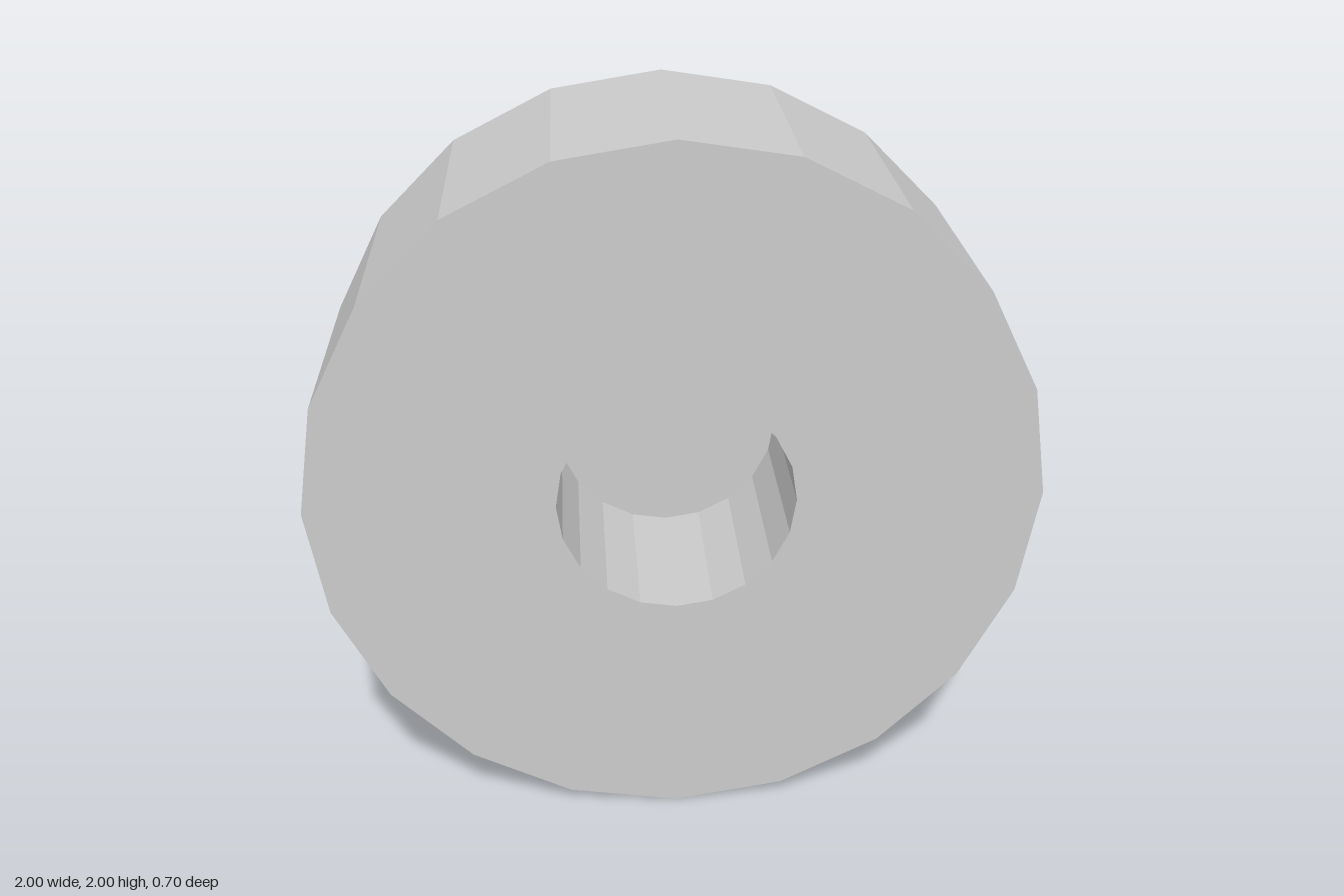
import * as THREE from 'three';

const SIDES = 20;
const RADIUS = 1;
const HALF_WIDTH = 0.35;
const HOLE_RADIUS = 0.325;
const HOLE_FLOOR = -0.15;

export function createModel() {
  const group = new THREE.Group();
  group.name = 'wheel';

  // Closed profile: back centre, rim, front face, blind hole wall, hole floor
  const profile = [
    [0, -HALF_WIDTH],
    [RADIUS, -HALF_WIDTH],
    [RADIUS, HALF_WIDTH],
    [HOLE_RADIUS, HALF_WIDTH],
    [HOLE_RADIUS, HOLE_FLOOR],
    [0, HOLE_FLOOR],
  ].map(([r, y]) => new THREE.Vector2(r, y));

  // Faceted disc with its axle along z and the hole opening to the front
  const geometry = new THREE.LatheGeometry(profile, SIDES).toNonIndexed();
  geometry.computeVertexNormals();
  geometry.rotateX(Math.PI / 2);

  const material = new THREE.MeshStandardMaterial({ color: 0xcccccc, flatShading: true });
  const disc = new THREE.Mesh(geometry, material);
  disc.name = 'wheelDisc';
  disc.position.y = RADIUS;
  group.add(disc);

  return group;
}
